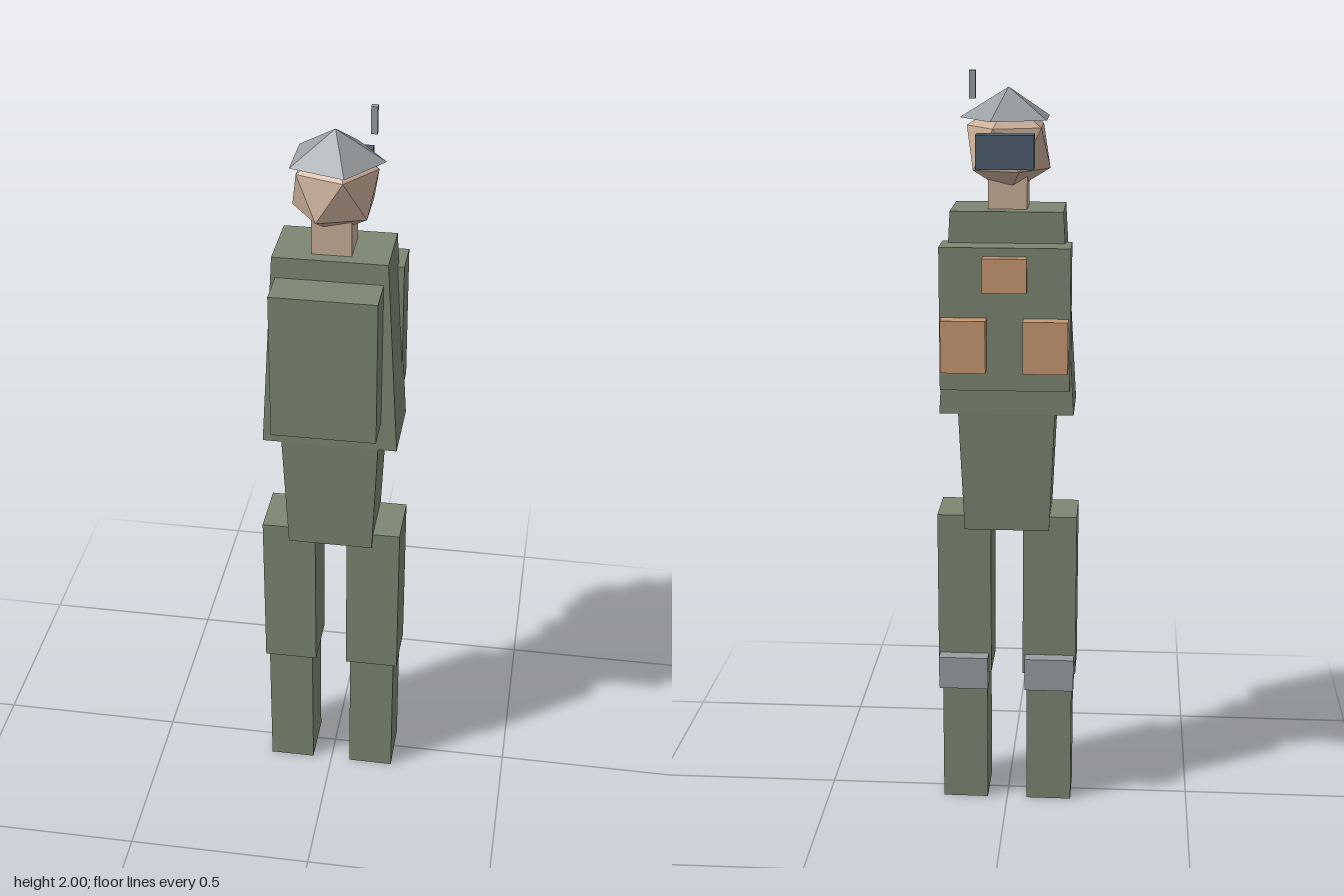
import * as THREE from 'three';
import { ConvexGeometry } from 'three/addons/geometries/ConvexGeometry.js';

const mat = (name, color, extra = {}) => {
  const m = new THREE.MeshStandardMaterial({ color, flatShading: true, ...extra });
  m.name = name;
  return m;
};

export function createModel() {
  const group = new THREE.Group();
  group.name = 'soldier';

  const green = mat('uniformGreen', 0x7d8772);
  const orange = mat('pouchOrange', 0xc99a74);
  const grey = mat('metalGrey', 0x9a9fa3, { side: THREE.DoubleSide });
  const blue = mat('goggleBlue', 0x4e6070);
  const skin = mat('skin', 0xcbb09a);

  const add = (name, geometry, material) => {
    const mesh = new THREE.Mesh(geometry, material);
    mesh.name = name;
    group.add(mesh);
    return mesh;
  };

  // Box given by its lower and upper limits on each axis
  const box = (name, material, [x0, x1], [y0, y1], [z0, z1]) => {
    const g = new THREE.BoxGeometry(x1 - x0, y1 - y0, z1 - z0);
    g.translate((x0 + x1) / 2, (y0 + y1) / 2, (z0 + z1) / 2);
    return add(name, g, material);
  };

  // Box whose bottom and top rectangles differ: [halfWidth, zBack, zFront]
  const taper = (name, material, y0, y1, bottom, top) => {
    const g = new THREE.BoxGeometry(2, 2, 2);
    const p = g.attributes.position;
    for (let i = 0; i < p.count; i++) {
      const up = p.getY(i) > 0;
      const [w, zb, zf] = up ? top : bottom;
      p.setXYZ(i, p.getX(i) * w, up ? y1 : y0, p.getZ(i) > 0 ? zf : zb);
    }
    g.computeVertexNormals();
    return add(name, g, material);
  };

  // Trunk
  taper('torso', green, 1.12, 1.65, [0.176, -0.093, 0.105], [0.145, -0.083, 0.095]);
  taper('hips', green, 0.795, 1.12, [0.113, -0.077, 0.095], [0.127, -0.09, 0.104]);
  box('backpack', green, [-0.136, 0.134], [1.2, 1.595], [0.08, 0.199]);
  box('vest', green, [-0.167, 0.167], [1.2, 1.57], [-0.158, -0.056]);

  // Pouches on the vest
  box('sidePouch', orange, [-0.163, -0.048], [1.255, 1.39], [-0.2, -0.15]);
  box('sidePouch', orange, [0.046, 0.161], [1.255, 1.39], [-0.2, -0.15]);
  box('centrePouch', orange, [-0.057, 0.055], [1.46, 1.548], [-0.19, -0.15]);

  // Legs
  for (const s of [-1, 1]) {
    const span = (a, b) => (s > 0 ? [a, b] : [-b, -a]);
    box('thigh', green, span(0.043, 0.187), [0.38, 0.832], [-0.07, 0.084]);
    box('shin', green, span(0.054, 0.177), [0, 0.4], [-0.065, 0.08]);
    box('kneePad', grey, span(0.05, 0.183), [0.345, 0.435], [-0.107, -0.055]);
  }

  // Neck and faceted head
  box('neck', skin, [-0.05, 0.05], [1.64, 1.76], [-0.04, 0.063]);
  const R = 0.12;
  const points = [new THREE.Vector3(0, R, 0), new THREE.Vector3(0, -R, 0)];
  for (let i = 0; i < 10; i++) {
    const a = (i * Math.PI) / 5;
    const y = (i % 2 ? -1 : 1) * R * 0.447;
    points.push(new THREE.Vector3(Math.cos(a) * R * 0.894, y, Math.sin(a) * R * 0.894));
  }
  add('head', new ConvexGeometry(points), skin).position.y = 1.805;

  // Five-sided open helmet
  const helmet = new THREE.ConeGeometry(0.125, 0.077, 5, 1, true, Math.PI / 2);
  add('helmet', helmet, grey).position.y = 1.9165;

  // Headgear
  box('goggles', blue, [-0.073, 0.073], [1.765, 1.85], [-0.158, -0.11]);
  box('antenna', grey, [0.08, 0.096], [1.93, 2], [-0.055, -0.039]);

  return group;
}
